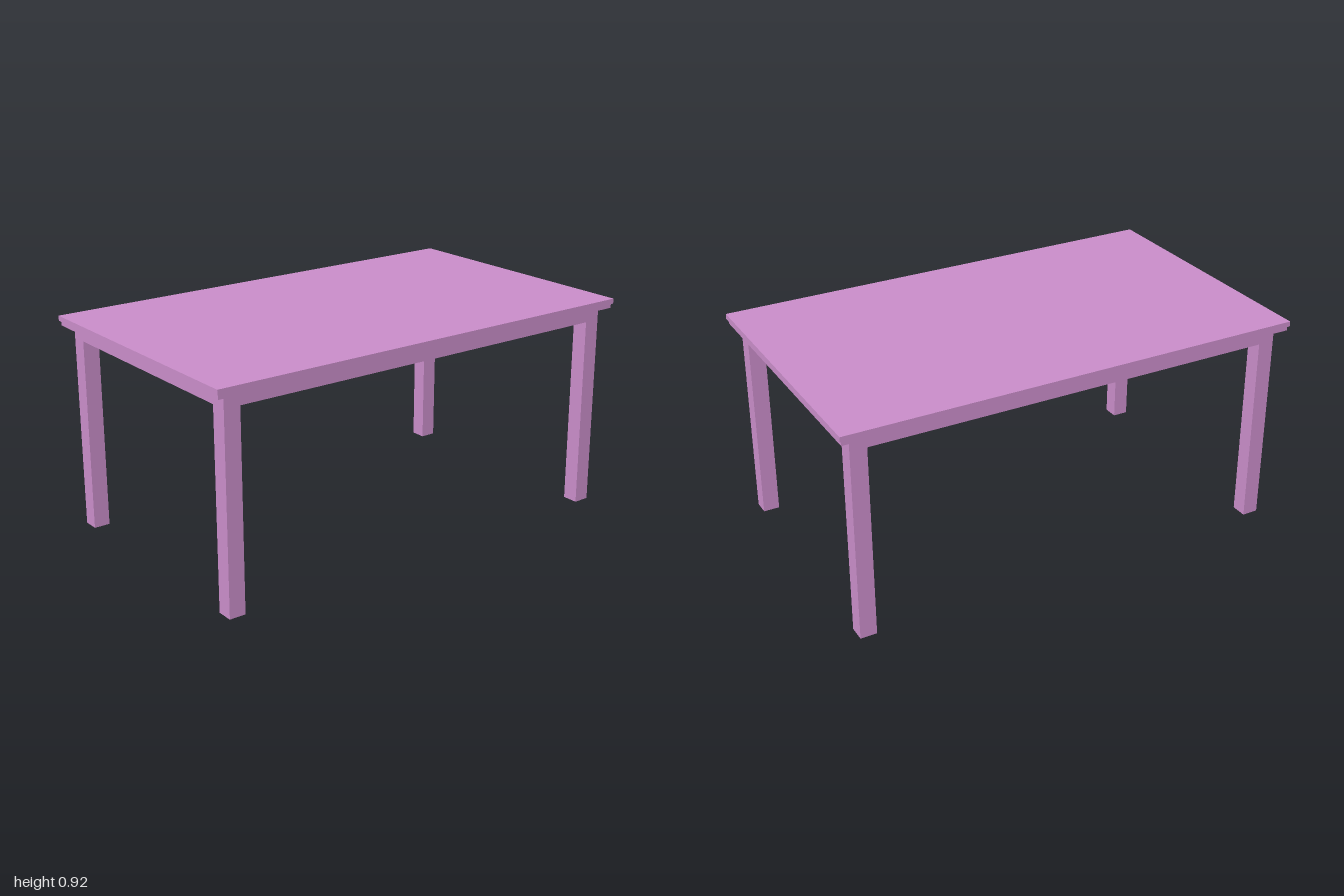
import * as THREE from 'three';

export function createModel() {
  const table = new THREE.Group();
  table.name = 'table';
  const material = new THREE.MeshStandardMaterial({ color: 0xc88cc8 });

  // Box given by its centre in x and z, and its bottom and top heights
  function addBox(name, width, depth, bottom, top, x = 0, z = 0) {
    const mesh = new THREE.Mesh(new THREE.BoxGeometry(width, top - bottom, depth), material);
    mesh.position.set(x, (bottom + top) / 2, z);
    mesh.name = name;
    table.add(mesh);
  }

  const legSize = 0.07, halfX = 0.558, halfZ = 0.951; // outer faces of the legs
  const apronBottom = 0.828, apronTop = 0.88, apronThickness = 0.03;

  // Two-step tabletop
  addBox('tabletop', 1.194, 2, 0.899, 0.921);
  addBox('tabletopLowerStep', 1.18, 1.986, apronTop, 0.899);

  for (const side of [-1, 1]) {
    // Aprons run between the legs, flush with their outer faces
    addBox(side > 0 ? 'leftApron' : 'rightApron', apronThickness, 2 * (halfZ - legSize),
      apronBottom, apronTop, side * (halfX - apronThickness / 2), 0);
    addBox(side > 0 ? 'frontApron' : 'backApron', 2 * (halfX - legSize), apronThickness,
      apronBottom, apronTop, 0, side * (halfZ - apronThickness / 2));

    // Square legs
    for (const end of [-1, 1]) {
      const name = (end > 0 ? 'front' : 'back') + (side > 0 ? 'Left' : 'Right') + 'Leg';
      addBox(name, legSize, legSize, 0, apronTop,
        side * (halfX - legSize / 2), end * (halfZ - legSize / 2));
    }
  }
  return table;
}
